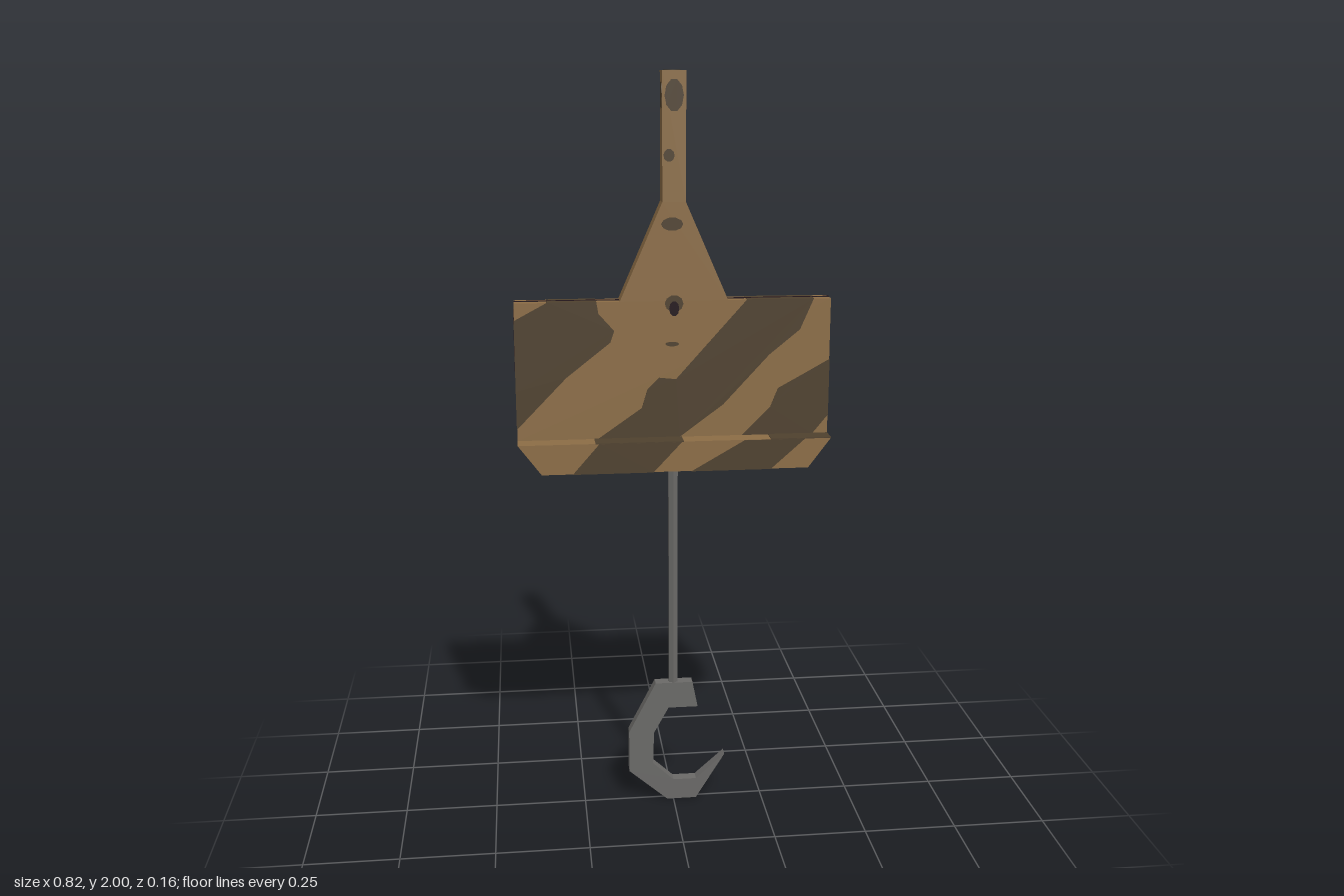
import * as THREE from 'three';

const mat = (name, color) => {
  const m = new THREE.MeshStandardMaterial({ color });
  m.name = name;
  return m;
};

export function createModel() {
  const root = new THREE.Group();
  root.name = 'hangingHook';
  const tan = mat('lightWood', 0x8c6d46);
  const brown = mat('darkWood', 0x4f412e);
  const steel = mat('greySteel', 0x6b6a68);
  const black = mat('blackGap', 0x1e0d14);

  const add = (name, geo, material, x = 0, y = 0, z = 0) => {
    const m = new THREE.Mesh(geo, material);
    m.name = name;
    m.position.set(x, y, z);
    root.add(m);
    return m;
  };
  // Flat outline extruded evenly about z = 0
  const slab = (name, pts, half, material) => {
    const shape = new THREE.Shape(pts.map(p => new THREE.Vector2(p[0], p[1])));
    const geo = new THREE.ExtrudeGeometry(shape, { depth: half * 2, bevelEnabled: false });
    geo.translate(0, 0, -half);
    return add(name, geo, material);
  };

  // Board with tapered shoulder and neck
  slab('board', [[-0.41, 1.07], [0.41, 1.07], [0.41, 1.43], [0.14, 1.43], [0.03, 1.68],
    [0.03, 2], [-0.03, 2], [-0.03, 1.68], [-0.14, 1.43], [-0.41, 1.43]], 0.028, tan);

  // Wider foot rail with slanted ends
  slab('footRail', [[-0.41, 1.07], [-0.35, 0.99], [0.35, 0.99], [0.41, 1.07]], 0.08, tan);

  // Diagonal dark grain running through the board
  const boardStripes = [
    [[-0.411, 1.20], [-0.411, 1.385], [-0.325, 1.431], [-0.2, 1.431], [-0.195, 1.4],
      [-0.155, 1.355], [-0.165, 1.325], [-0.28, 1.235], [-0.411, 1.1]],
    [[-0.2, 1.07], [0.015, 1.07], [0.13, 1.155], [0.25, 1.285], [0.33, 1.35], [0.365, 1.431],
      [0.19, 1.431], [0.005, 1.225], [-0.04, 1.23], [-0.07, 1.2], [-0.085, 1.15]],
    [[0.18, 1.07], [0.37, 1.07], [0.411, 1.12], [0.411, 1.27], [0.33, 1.225],
      [0.275, 1.195], [0.255, 1.145]],
  ];
  boardStripes.forEach(p => slab('boardStripe', p, 0.029, brown));

  // Matching grain on the rail
  const railStripes = [
    [[-0.2, 1.069], [-0.27, 0.989], [-0.06, 0.989], [0.015, 1.069]],
    [[0.18, 1.069], [0.04, 0.989], [0.25, 0.989], [0.34, 1.069]],
  ];
  railStripes.forEach(p => slab('railStripe', p, 0.081, brown));
  [[-0.21, 0.02], [0.25, 0.41]].forEach(([a, b]) =>
    add('railTopStripe', new THREE.BoxGeometry(b - a, 0.002, 0.16), brown, (a + b) / 2, 1.07));

  // Knots in the wood on both faces
  const knots = [[0, 1.94, 0.024, 0.04, brown], [-0.013, 1.795, 0.014, 0.016, brown],
    [-0.005, 1.625, 0.028, 0.017, brown], [0, 1.423, 0.024, 0.022, brown],
    [0, 1.41, 0.013, 0.02, black], [-0.005, 1.318, 0.018, 0.006, brown]];
  knots.forEach(([x, y, rx, ry, m], i) => {
    const pts = Array.from({ length: 10 }, (_, k) => {
      const a = k * Math.PI / 5;
      return [x + rx * Math.cos(a), y + ry * Math.sin(a)];
    });
    slab('knot', pts, 0.029 + i * 0.0002, m);
  });
  const sideKnot = new THREE.CylinderGeometry(0.018, 0.018, 0.062, 10);
  const side = add('sideKnot', sideKnot, brown, 0, 1.94);
  side.rotation.z = Math.PI / 2;
  side.scale.x = 1.9;
  add('topKnot', new THREE.CylinderGeometry(0.022, 0.022, 0.002, 12), brown, -0.003, 2);

  // Thin seams along the board's edges
  for (const s of [-1, 1]) {
    add('topSeam', new THREE.BoxGeometry(0.27, 0.002, 0.007), black, s * 0.275, 1.431);
    add('endSeam', new THREE.BoxGeometry(0.002, 0.16, 0.007), black, s * 0.411, 1.33);
  }

  // Hanging rod
  const rod = new THREE.CylinderGeometry(0.014, 0.014, 0.68, 6).toNonIndexed();
  rod.computeVertexNormals();
  add('rod', rod, steel, 0, 0.67);

  // Angular hook with a pointed tip
  slab('hook', [[-0.05, 0.36], [-0.125, 0.215], [-0.125, 0.095], [-0.018, 0.002], [0.064, 0.002],
    [0.145, 0.134], [0.064, 0.062], [0, 0.062], [-0.058, 0.116], [-0.055, 0.21],
    [-0.014, 0.285], [0.068, 0.285], [0.053, 0.36]], 0.015, steel);

  return root;
}
